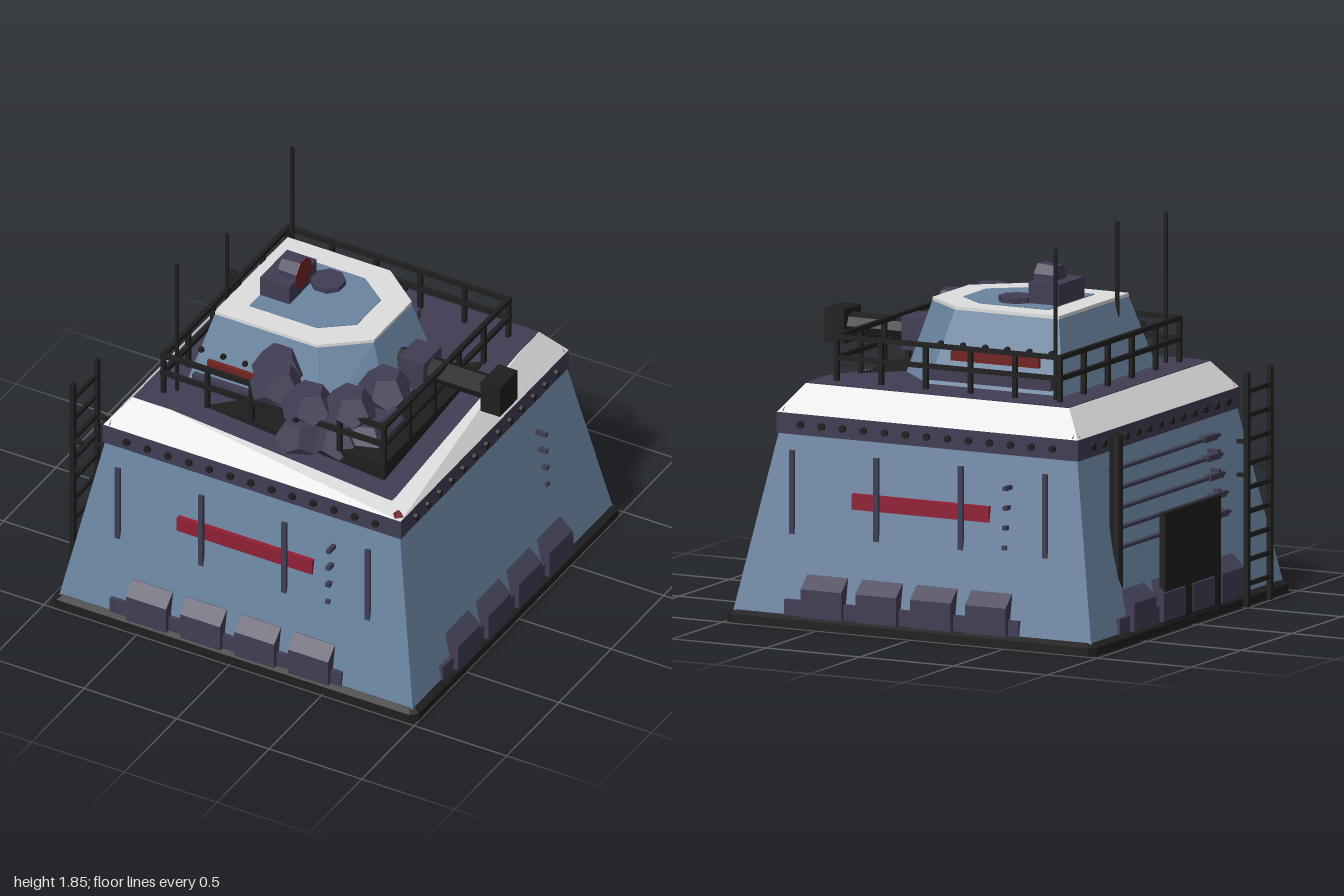
import * as THREE from 'three';
import { ConvexGeometry } from 'three/addons/geometries/ConvexGeometry.js';

const mat = (name, color) => Object.assign(new THREE.MeshStandardMaterial({ color, flatShading: true }), { name });

export function createModel() {
  const blue = mat('steel blue', 0x6a84a0), white = mat('pale grey', 0xdedede), slate = mat('slate purple', 0x403d54);
  const black = mat('black iron', 0x1e1e1e), red = mat('crimson', 0x901f35), rust = mat('dark red', 0x702222);
  const root = new THREE.Group();
  root.name = 'bunker';
  const CX = 0.013; // hull centre in x

  const add = (parent, name, geo, material, x = 0, y = 0, z = 0) => {
    const m = new THREE.Mesh(geo, material);
    m.name = name;
    m.position.set(x, y, z);
    parent.add(m);
    return m;
  };
  // box given by its limits
  const span = (parent, name, material, x0, x1, y0, y1, z0, z1) =>
    add(parent, name, new THREE.BoxGeometry(x1 - x0, y1 - y0, z1 - z0), material, (x0 + x1) / 2, (y0 + y1) / 2, (z0 + z1) / 2);
  const group = (name, parent = root) => {
    const g = new THREE.Group();
    g.name = name;
    parent.add(g);
    return g;
  };

  // closed solid through stacked convex rings [y, [[x, z], ...]]
  const loft = (rings) => {
    const v = [];
    const tri = (a, b, c) => v.push(...a, ...b, ...c);
    const P = rings.map(([y, pts]) => pts.map(([x, z]) => [x, y, z]));
    const n = P[0].length, top = P[P.length - 1], bot = P[0];
    for (let r = 0; r + 1 < P.length; r++) for (let i = 0; i < n; i++) {
      const j = (i + 1) % n;
      tri(P[r][i], P[r][j], P[r + 1][j]);
      tri(P[r][i], P[r + 1][j], P[r + 1][i]);
    }
    for (let i = 1; i + 1 < n; i++) {
      tri(top[0], top[i], top[i + 1]);
      tri(bot[0], bot[i + 1], bot[i]);
    }
    const g = new THREE.BufferGeometry();
    g.setAttribute('position', new THREE.Float32BufferAttribute(v, 3));
    g.computeVertexNormals();
    return g;
  };
  const square = (h) => [[h, h], [h, -h], [-h, -h], [-h, h]];
  const cut = (h, c) => [[h, h - c], [h, c - h], [h - c, -h], [c - h, -h], [-h, c - h], [-h, h - c], [c - h, h], [h - c, h]];
  const vec2 = (pts) => pts.map(p => new THREE.Vector2(...p));

  // hull, stacked from the ground up
  const hull = group('hull');
  hull.position.x = CX;
  const frame = new THREE.Shape(vec2(cut(0.985, 0.03)));
  frame.holes.push(new THREE.Path(vec2(square(0.945))));
  add(hull, 'baseFrame', new THREE.ExtrudeGeometry(frame, { depth: 0.04, bevelEnabled: false }).rotateX(-Math.PI / 2), black);
  add(hull, 'baseFloor', loft([[0.04, cut(0.985, 0.03)], [0.058, cut(0.955, 0.02)]]), black);
  add(hull, 'slopedWalls', loft([[0.05, square(0.955)], [0.89, square(0.797)]]), blue);
  add(hull, 'boltBand', loft([[0.89, square(0.805)], [0.99, square(0.805)]]), slate);

  // parapet and deck share a top whose front left corner is planed down
  const planed = (bottomY, bottomH, h, lift) => new ConvexGeometry([
    ...square(bottomH).map(([x, z]) => [x, bottomY, z]),
    [-h, 1.12 + lift, -h], [h, 1.12 + lift, -h], [-h, 1.12 + lift, h],
    [h, 1.12 + lift, -0.5], [-0.5, 1.12 + lift, h], [h, 1.0085 + lift, h],
  ].map(p => new THREE.Vector3(...p)));
  add(hull, 'parapet', planed(0.99, 0.803, 0.703, 0), white);
  add(hull, 'roofDeck', planed(1.0, 0.69, 0.7, 0.004), slate);
  add(hull, 'gunPlatform', loft([0.99, 1.122].map(y => [y, [[0.6, 0.6], [0.6, -0.4], [-0.4, 0.6]]])), black);
  for (const sx of [-1, 1]) for (const sz of [-1, 1]) {
    add(hull, 'foot', new THREE.BoxGeometry(0.12, 0.05, 0.12), slate, sx * 0.7, 0.026, sz * 0.7);
    add(hull, 'cornerMarker', new THREE.ConeGeometry(0.03, 0.034, 4), rust, sx * 0.772, 1.012, sz * 0.772);
  }

  // fittings repeated on each wall, outward is local +z
  const boltGeo = new THREE.CylinderGeometry(0.018, 0.018, 0.03, 6).rotateX(Math.PI / 2);
  const locker = new THREE.Shape(vec2([[0.9, 0.055], [0.986, 0.055], [0.986, 0.19], [0.92, 0.25], [0.88, 0.25]]));
  const lockerGeo = new THREE.ExtrudeGeometry(locker, { depth: 0.217, bevelEnabled: false })
    .translate(0, 0, -0.1085).rotateY(-Math.PI / 2);
  for (let k = 0; k < 4; k++) {
    const wall = group('wallFittings', hull);
    wall.rotation.y = k * Math.PI / 2;
    for (let i = -6; i <= 6; i++) add(wall, 'bandBolt', boltGeo, black, i * 0.112, 0.94, 0.808);
    for (let i = 0; i < 4; i++) {
      add(wall, 'locker', lockerGeo, slate, -0.47 + i * 0.292, 0, 0);
      add(wall, 'wallPeg', new THREE.BoxGeometry(0.022, 0.02, 0.06), slate, 0.455, 0.46 + i * 0.094, 0.862 - i * 0.003);
    }
    span(wall, 'lockerSill', slate, -0.68, 0.57, 0.055, 0.13, 0.9, 0.962);
    if (k % 2 === 0) {
      span(wall, 'wallStripe', red, -0.37, 0.36, 0.57, 0.645, 0.84, 0.868);
      for (const x of [-0.68, -0.23, 0.22, 0.67]) span(wall, 'wallRib', slate, x - 0.013, x + 0.013, 0.43, 0.83, 0.875, 0.89);
    }
  }

  // right wall: door, pipes, stack and ladder
  const service = group('serviceWall');
  span(service, 'door', black, -0.968, -0.94, 0.03, 0.57, -0.27, 0.29);
  add(service, 'exhaustStack', new THREE.CylinderGeometry(0.034, 0.034, 0.94, 8), black, -0.87, 0.52, -0.57);
  for (let i = 0; i < 5; i++) {
    const y = 0.45 + i * 0.09, x = -0.89 + i * 0.014;
    add(service, 'pipe', new THREE.CylinderGeometry(0.012, 0.012, 1.08, 6).rotateX(Math.PI / 2), slate, x, y, -0.02);
    add(service, 'pipeBracket', new THREE.BoxGeometry(0.035, 0.028, 0.13), slate, x, y, 0.42);
  }
  const ladder = group('ladder');
  for (const z of [0.51, 0.74]) {
    span(ladder, 'ladderRail', black, -1, -0.978, 0, 1.12, z - 0.013, z + 0.013);
    for (const y of [0.63, 0.79]) span(ladder, 'ladderMount', black, -0.98, -0.938, y - 0.009, y + 0.009, z - 0.01, z + 0.01);
  }
  for (let i = 0; i < 9; i++) span(ladder, 'rung', black, -0.997, -0.98, 0.1 + i * 0.115, 0.12 + i * 0.115, 0.51, 0.74);

  // roof railing
  const railing = group('railing');
  railing.position.x = CX;
  for (let k = 0; k < 4; k++) {
    const side = group('railingSide', railing);
    side.rotation.y = k * Math.PI / 2;
    for (const y of [1.235, 1.335]) span(side, 'rail', black, -0.607, 0.607, y - 0.011, y + 0.011, 0.585, 0.607);
    for (let i = 0; i < 5; i++) add(side, 'railPost', new THREE.BoxGeometry(0.022, 0.22, 0.022), black, -0.595 + i * 0.238, 1.23, 0.596);
  }

  // turret
  const turret = group('turret');
  const outline = (front, nose, mid, side, back) => [[front, nose], [front, -nose], [mid, -side], [back, -side], [back, side], [mid, side]];
  const topRing = outline(0.32, 0.18, 0.11, 0.348, -0.445);
  add(turret, 'turretWalls', loft([[1.12, outline(0.43, 0.235, 0.19, 0.467, -0.53)], [1.466, topRing]]), blue);
  add(turret, 'turretRim', loft([[1.466, topRing], [1.482, topRing]]), white);
  const hatch = outline(0.19, 0.115, 0.04, 0.23, -0.325);
  add(turret, 'roofPanel', loft([[1.48, hatch], [1.486, hatch]]), blue);
  for (const s of [-1, 1]) {
    span(turret, 'turretStripe', rust, -0.41, 0.06, 1.25, 1.295, s * 0.475 - 0.01, s * 0.475 + 0.01);
    span(turret, 'turretSkirt', slate, -0.482, 0.19, 1.15, 1.2, s * 0.485 - 0.015, s * 0.485 + 0.015);
    for (let i = 0; i < 6; i++)
      add(turret, 'turretBolt', new THREE.CylinderGeometry(0.014, 0.014, 0.018, 6).rotateX(Math.PI / 2), black, -0.46 + i * 0.118, 1.32, s * 0.45);
  }

  // gun
  const gun = group('gun');
  span(gun, 'mantlet', slate, 0.4, 0.535, 1.195, 1.355, -0.085, 0.085);
  add(gun, 'barrel', new THREE.CylinderGeometry(0.06, 0.06, 0.5, 8).rotateZ(Math.PI / 2), black, 0.61, 1.278, 0);
  span(gun, 'muzzle', black, 0.842, 0.946, 1.196, 1.36, -0.085, 0.085);

  // searchlight and hatch on the turret roof
  span(turret, 'lightMount', slate, -0.325, -0.165, 1.48, 1.585, -0.13, 0.13);
  const octagon = (front, back, h) => new THREE.CylinderGeometry(front, back, h, 8).rotateY(Math.PI / 8).rotateZ(-Math.PI / 2);
  add(turret, 'lampHousing', octagon(0.08, 0.07, 0.1), slate, -0.215, 1.587, 0);
  add(turret, 'lampLens', octagon(0.079, 0.079, 0.004), rust, -0.163, 1.587, 0);
  add(turret, 'roofHatch', new THREE.CylinderGeometry(0.085, 0.085, 0.03, 8).rotateY(Math.PI / 8), slate, -0.09, 1.498, -0.107);

  // antennas: x, z, foot height
  for (const [x, z, y] of [[-0.535, 0.55, 1.12], [-0.535, -0.55, 1.12], [-0.455, 0.215, 1.3]])
    add(root, 'antenna', new THREE.CylinderGeometry(0.01, 0.01, 1.845 - y, 6), black, x, (1.845 + y) / 2, z);

  // faceted domes: a twelve-sided solid with its underside flattened
  const R = 0.13;
  const domeGeo = new THREE.DodecahedronGeometry(R).rotateX(-Math.atan(2 / (1 + Math.sqrt(5))));
  const p = domeGeo.attributes.position;
  for (let i = 0; i < p.count; i++) p.setY(i, Math.max(p.getY(i), -0.19 * R));
  domeGeo.computeVertexNormals();
  const domes = group('sandbagDomes');
  const upper = [[0.46, 0.325], [0.39, 0.54], [0.21, 0.615], [0.0, 0.545], [-0.06, 0.42]];
  const lower = [[0.15, 0.57], [0.3, 0.52], [0.42, 0.42], [0.43, 0.3]];
  upper.forEach(([x, z], i) => { add(domes, 'upperDome', domeGeo, slate, x, 1.323, z).rotation.y = i * 1.3; });
  lower.forEach(([x, z], i) => { add(domes, 'lowerDome', domeGeo, slate, x, 1.1, z).rotation.y = i * 0.9 + 0.4; });

  return root;
}
